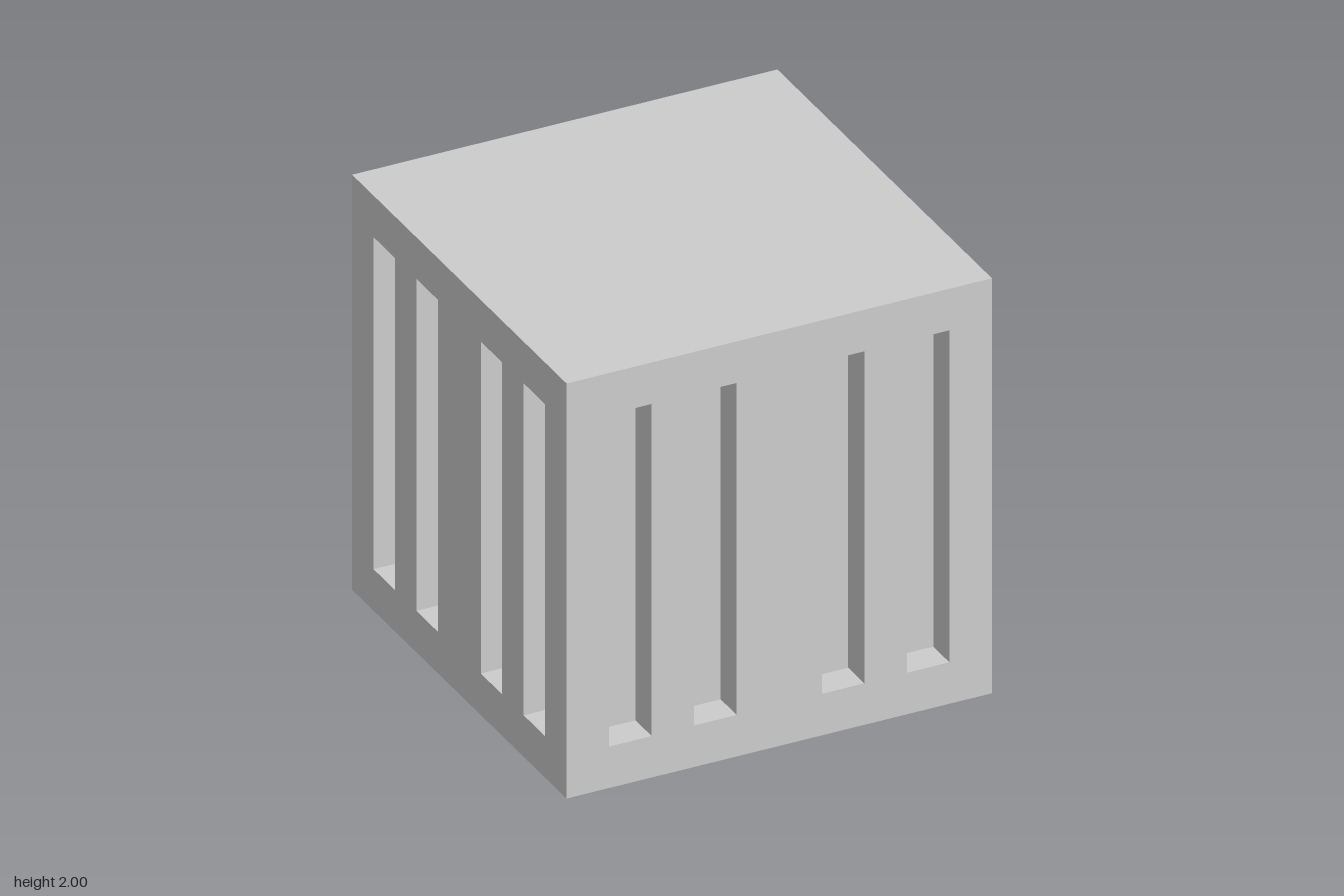
import * as THREE from 'three';

const material = new THREE.MeshStandardMaterial({ color: 0xcccccc, flatShading: true });
const SLOT_X = [-0.7, -0.3, 0.3, 0.7];
const SLOT_W = 0.2, SLOT_BOTTOM = 0.2, SLOT_TOP = 1.8;

function rectangle(Type, x0, y0, x1, y1) {
  return new Type([[x0, y0], [x1, y0], [x1, y1], [x0, y1]].map(p => new THREE.Vector2(...p)));
}

function addMesh(parent, name, geometry) {
  const mesh = new THREE.Mesh(geometry, material);
  mesh.name = name;
  parent.add(mesh);
  return mesh;
}

// Inward-facing box with its front left open
function recessGeometry(depth) {
  const geometry = new THREE.BoxGeometry(SLOT_W, SLOT_TOP - SLOT_BOTTOM, depth);
  const index = Array.from(geometry.index.array);
  index.splice(24, 6); // drop the +z face
  geometry.setIndex(index.reverse()); // turn the walls inward
  geometry.clearGroups();
  geometry.deleteAttribute('normal');
  geometry.computeVertexNormals();
  return geometry;
}

// One side of the cube: a flat face with four slots sunk into it
function slottedSide(name, angle, depth) {
  const side = new THREE.Group();
  side.name = name;
  const face = rectangle(THREE.Shape, -1, 0, 1, 2);
  for (const x of SLOT_X) {
    face.holes.push(rectangle(THREE.Path, x - SLOT_W / 2, SLOT_BOTTOM, x + SLOT_W / 2, SLOT_TOP));
    addMesh(side, 'slotRecess', recessGeometry(depth))
      .position.set(x, (SLOT_BOTTOM + SLOT_TOP) / 2, 1 - depth / 2);
  }
  addMesh(side, 'sideFace', new THREE.ShapeGeometry(face)).position.z = 1;
  side.rotation.y = angle;
  return side;
}

export function createModel() {
  const model = new THREE.Group();
  model.name = 'slottedCube';

  // Four slotted sides
  model.add(
    slottedSide('frontSide', 0, 0.15),
    slottedSide('leftSide', Math.PI / 2, 0.13),
    slottedSide('backSide', Math.PI, 0.15),
    slottedSide('rightSide', -Math.PI / 2, 0.15)
  );

  // Plain top and bottom
  const top = addMesh(model, 'top', new THREE.PlaneGeometry(2, 2));
  top.rotation.x = -Math.PI / 2;
  top.position.y = 2;
  addMesh(model, 'bottom', new THREE.PlaneGeometry(2, 2)).rotation.x = Math.PI / 2;

  return model;
}
